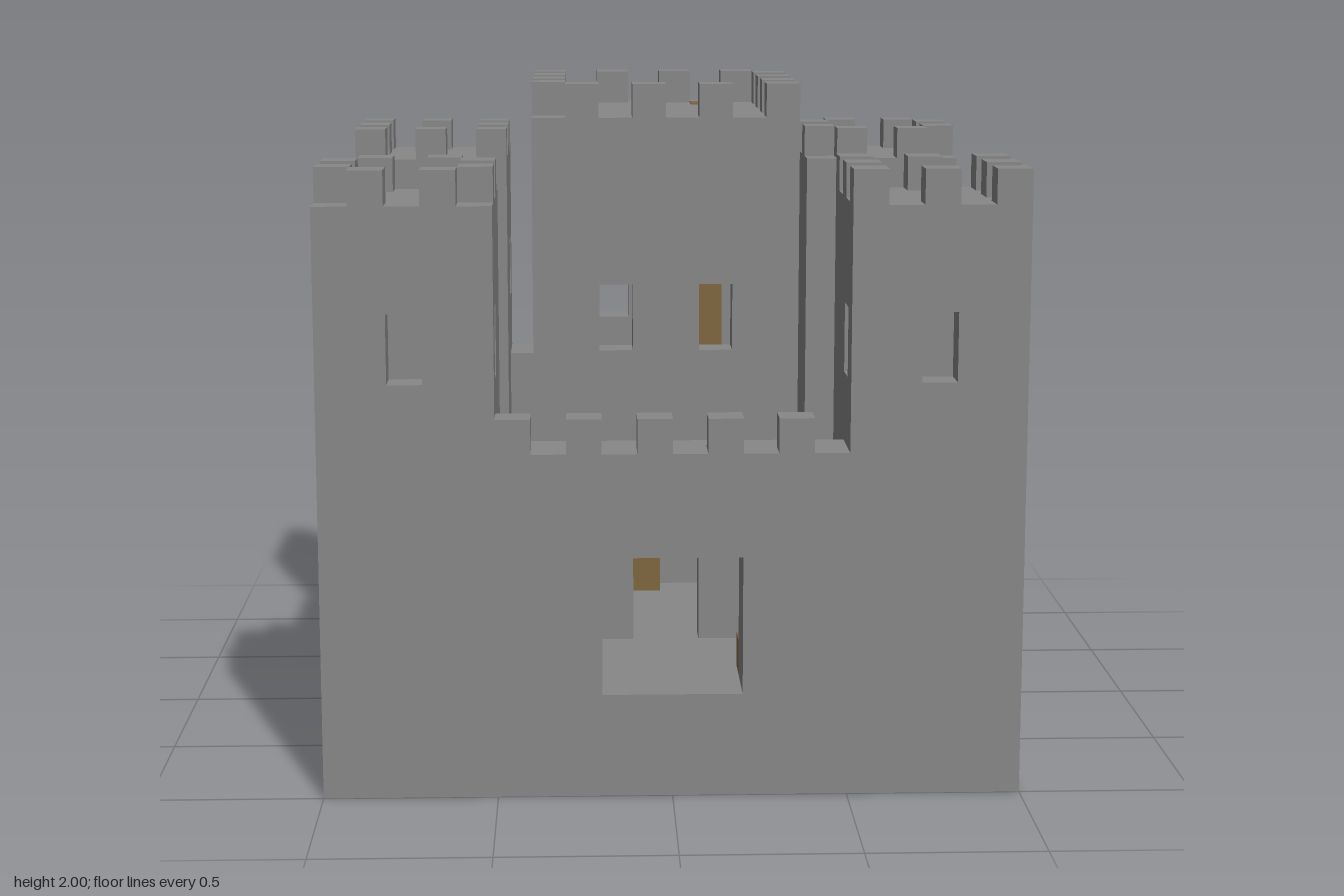
import * as THREE from 'three';

const stone = new THREE.MeshStandardMaterial({ color: 0x888888 });
stone.name = 'stone grey';
const wood = new THREE.MeshStandardMaterial({ color: 0x80673f });
wood.name = 'wood brown';

// Box given by its two opposite corners
function block(parent, name, x0, x1, y0, y1, z0, z1, material = stone) {
  const mesh = new THREE.Mesh(new THREE.BoxGeometry(x1 - x0, y1 - y0, z1 - z0), material);
  mesh.position.set((x0 + x1) / 2, (y0 + y1) / 2, (z0 + z1) / 2);
  mesh.name = name;
  parent.add(mesh);
}

// Upright wall slab with rectangular openings [u0, u1, y0, y1].
// axis is the direction of its thickness; u runs along the other one.
function wall(parent, name, axis, from, to, u0, u1, y0, y1, openings = []) {
  const rect = (Type, a, b, c, d) => {
    const p = new Type();
    p.moveTo(a, c);
    p.lineTo(b, c);
    p.lineTo(b, d);
    p.lineTo(a, d);
    p.closePath();
    return p;
  };
  const shape = rect(THREE.Shape, u0, u1, y0, y1);
  for (const o of openings) shape.holes.push(rect(THREE.Path, ...o));
  const geo = new THREE.ExtrudeGeometry(shape, { depth: to - from, bevelEnabled: false });
  if (axis === 'z') geo.translate(0, 0, from);
  else geo.rotateY(-Math.PI / 2).translate(to, 0, 0);
  const mesh = new THREE.Mesh(geo, stone);
  mesh.name = name;
  parent.add(mesh);
}

// Chequered merlons around the rim of a square of 0.1 cells
function battlements(parent, i0, i1, k0, k1, y, skip = () => false) {
  const group = new THREE.Group();
  group.name = 'battlements';
  for (let i = i0; i <= i1; i++) {
    for (let k = k0; k <= k1; k++) {
      const rim = i === i0 || i === i1 || k === k0 || k === k1;
      if (!rim || (i + k) % 2 || skip(i, k)) continue;
      const x = -1 + i * 0.1, z = -1 + k * 0.1;
      block(group, 'merlon', x, x + 0.1, y, y + 0.1, z, z + 0.1);
    }
  }
  parent.add(group);
}

// Window range on a tower side, mirrored by sign
const slit = (sign, a, b) => [Math.min(sign * a, sign * b), Math.max(sign * a, sign * b), 1.2, 1.4];

function cornerTower(sx, sz) {
  const g = new THREE.Group();
  g.name = 'cornerTower';
  const span = (s, a, b) => (s > 0 ? [a, b] : [-b, -a]);
  const X = span(sx, 0.5, 1), Z = span(sz, 0.5, 1);
  block(g, 'towerBase', ...X, 0.3, 1, ...Z);
  wall(g, 'outerWall', 'z', ...span(sz, 0.9, 1), ...X, 1, 1.7, [slit(sx, 0.7, 0.8)]);
  wall(g, 'courtWall', 'z', ...span(sz, 0.5, 0.6), ...X, 1, 1.7);
  const outer = sx === sz ? slit(sz, 0.6, 0.7) : slit(sz, 0.8, 0.9);
  wall(g, 'sideWall', 'x', ...span(sx, 0.9, 1), ...Z, 1, 1.7, [outer]);
  wall(g, 'innerWall', 'x', ...span(sx, 0.5, 0.6), ...Z, 1, 1.7, [slit(sz, 0.8, 0.9)]);
  block(g, 'towerRoof', ...X, 1.6, 1.7, ...Z);
  const i = sx > 0 ? 15 : 0, k = sz > 0 ? 15 : 0;
  battlements(g, i, i + 4, k, k + 4, 1.7);
  return g;
}

function createKeep() {
  const g = new THREE.Group();
  g.name = 'keep';
  const windows = [slit(-1, 0.1, 0.2), slit(1, 0.1, 0.2)];
  wall(g, 'keepFront', 'z', 0.3, 0.4, -0.4, 0.4, 0.2, 1.9, [[-0.1, 0.1, 0.3, 0.6], ...windows]);
  wall(g, 'keepBack', 'z', -0.4, -0.3, -0.4, 0.4, 0.2, 1.9, windows);
  wall(g, 'keepLeft', 'x', 0.3, 0.4, -0.4, 0.4, 0.2, 1.9, windows);
  wall(g, 'keepRight', 'x', -0.4, -0.3, -0.4, 0.4, 0.2, 1.9, windows);
  block(g, 'upperFloor', -0.3, 0.3, 0.9, 1, -0.3, 0.3);
  block(g, 'keepRoof', -0.4, 0.4, 1.8, 1.9, -0.4, 0.4);
  battlements(g, 6, 13, 6, 13, 1.9);
  // Ladder posts: ground to upper floor, then up through the roof
  block(g, 'lowerLadder', -0.1, 0, 0.3, 1.004, -0.3, -0.2, wood);
  block(g, 'upperLadder', 0.1, 0.2, 1, 1.904, -0.3, -0.2, wood);
  return g;
}

export function createModel() {
  const castle = new THREE.Group();
  castle.name = 'castle';

  // Ground platform and curtain walls
  block(castle, 'platform', -1, 1, 0, 0.3, -1, 1);
  wall(castle, 'gateWall', 'z', 0.8, 1, -1, 1, 0.2, 1, [[-0.2, 0.2, 0.3, 0.7]]);
  block(castle, 'backWall', -1, 1, 0.3, 1, -1, -0.8);
  block(castle, 'leftWall', 0.8, 1, 0.3, 1, -0.8, 0.8);
  block(castle, 'rightWall', -1, -0.8, 0.3, 1, -0.8, 0.8);
  const inTower = (n) => n < 5 || n > 14;
  battlements(castle, 0, 19, 0, 19, 1, (i, k) => inTower(i) && inTower(k));

  for (const sx of [-1, 1]) for (const sz of [-1, 1]) castle.add(cornerTower(sx, sz));
  castle.add(createKeep());

  // Wooden crates behind the gate
  for (const x of [-0.3, 0.2]) block(castle, 'crate', x, x + 0.1, 0.3, 0.4, 0.7, 0.8, wood);
  return castle;
}
